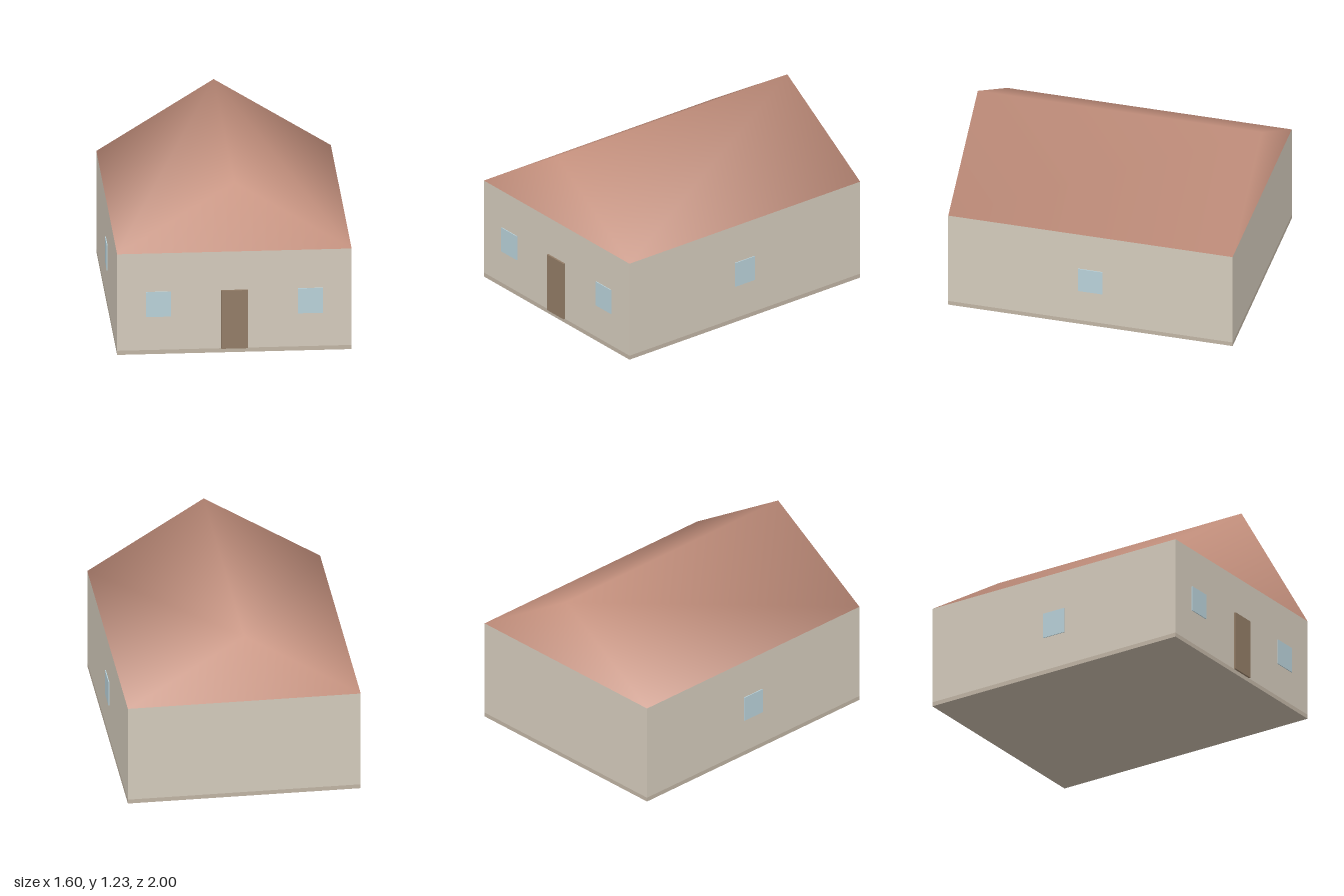
import * as THREE from 'three';

const paint = (color) => new THREE.MeshStandardMaterial({ color });

const HALF_W = 0.795, BACK = -1, FRONT = 0.987;
const MID_Z = (FRONT + BACK) / 2, DEPTH = FRONT - BACK;
const BASE_TOP = 0.03, EAVE = 0.727, RIDGE = 1.225;

// Gabled roof: two three-point sections joined by slopes, softly shaded across the edges
function roofGeometry() {
  const positions = [], normals = [];
  const slope = new THREE.Vector2(RIDGE - EAVE, HALF_W).normalize();
  for (const [z, nz] of [[FRONT, 1], [BACK, -1]]) {
    for (const side of [-1, 0, 1]) {
      positions.push(side * HALF_W, side === 0 ? RIDGE : EAVE, z);
      const n = new THREE.Vector3(side * slope.x, slope.y * (side === 0 ? 2 : 1), nz).normalize();
      normals.push(n.x, n.y, n.z);
    }
  }
  const geometry = new THREE.BufferGeometry();
  geometry.setAttribute('position', new THREE.Float32BufferAttribute(positions, 3));
  geometry.setAttribute('normal', new THREE.Float32BufferAttribute(normals, 3));
  geometry.setIndex([
    0, 2, 1, 3, 4, 5, // gables
    0, 1, 4, 0, 4, 3, // left-hand slope in the front view
    2, 5, 4, 2, 4, 1, // right-hand slope in the front view
  ]);
  return geometry;
}

export function createModel() {
  const house = new THREE.Group();
  house.name = 'house';

  const wallPaint = paint(0xd3cabb);
  const basePaint = paint(0xc0b4a4);
  const roofPaint = paint(0xc4907d);
  const doorPaint = paint(0x927c66);
  const glassPaint = paint(0xb8d0d8);

  const add = (name, geometry, material, x, y, z) => {
    const mesh = new THREE.Mesh(geometry, material);
    mesh.name = name;
    mesh.position.set(x, y, z);
    house.add(mesh);
  };
  const box = (name, material, w, h, d, x, y, z) =>
    add(name, new THREE.BoxGeometry(w, h, d), material, x, y, z);

  // Foundation strip, walls and roof
  box('foundation', basePaint, HALF_W * 2, BASE_TOP, DEPTH, 0, BASE_TOP / 2, MID_Z);
  box('walls', wallPaint, HALF_W * 2, EAVE - BASE_TOP, DEPTH, 0, (EAVE + BASE_TOP) / 2, MID_Z);
  add('roof', roofGeometry(), roofPaint, 0, 0, 0);

  // Door stands slightly proud of the front wall
  box('door', doorPaint, 0.18, 0.42, 0.026, 0, 0.24, 0.987);

  // Windows: a pair on the front and one on each side
  for (const side of [-1, 1]) {
    const label = side > 0 ? 'left' : 'right';
    box(label + 'FrontWindow', glassPaint, 0.17, 0.18, 0.012, side * 0.515, 0.36, 0.987);
    box(label + 'SideWindow', glassPaint, 0.012, 0.18, 0.17, side * HALF_W, 0.36, MID_Z);
  }
  return house;
}
